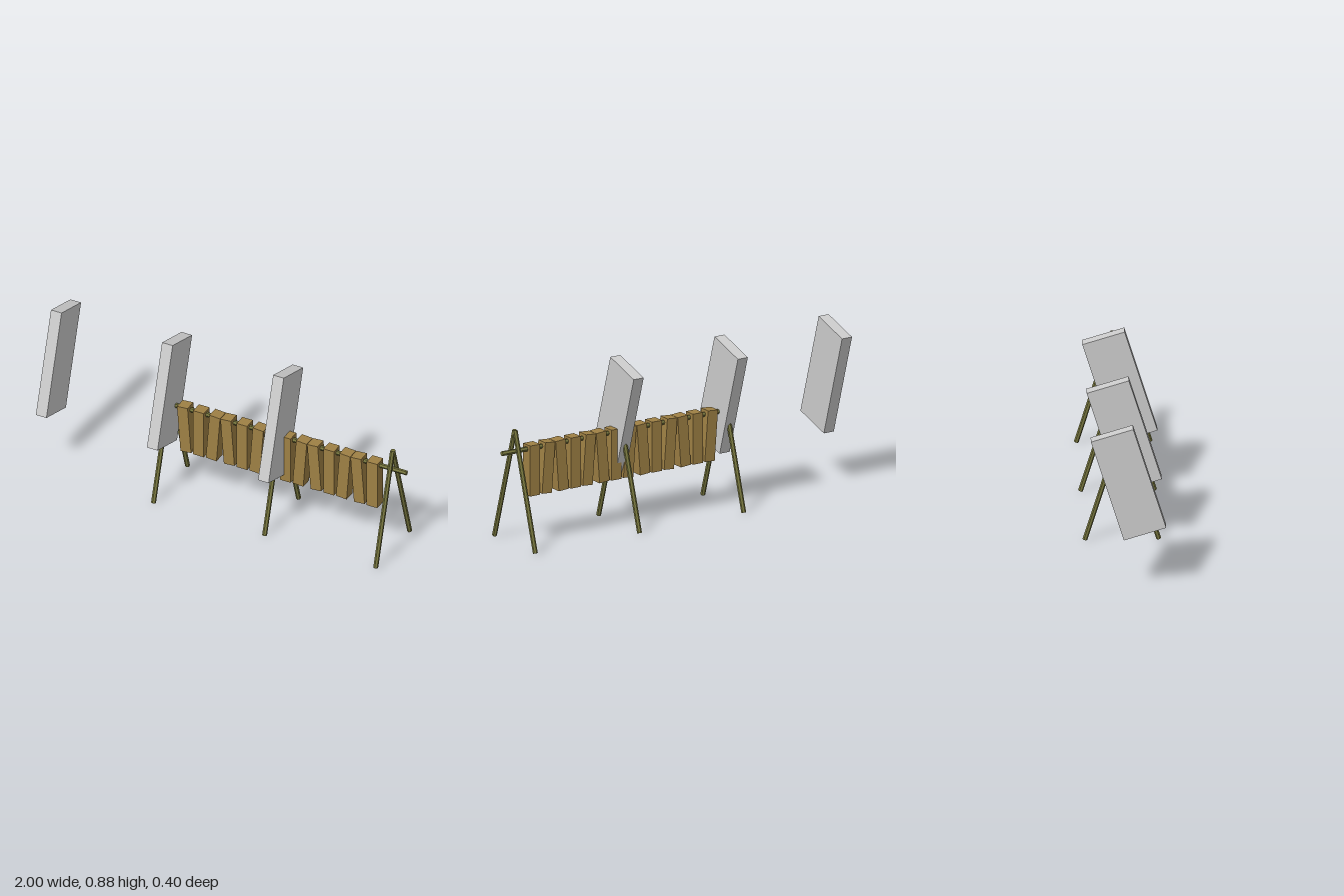
import * as THREE from 'three';

export function createModel() {
  const model = new THREE.Group();
  model.name = 'hangingPlankRack';

  const material = (name, color) => {
    const m = new THREE.MeshStandardMaterial({ color, flatShading: true });
    m.name = name;
    return m;
  };
  const olive = material('olivePole', 0x77763e);
  const wood = material('plankWood', 0x9e8044);
  const grey = material('slabGrey', 0xcccccc);

  const add = (name, geometry, mat, x, y, z) => {
    const mesh = new THREE.Mesh(geometry, mat);
    mesh.name = name;
    mesh.position.set(x, y, z);
    model.add(mesh);
    return mesh;
  };

  const lean = 0.298;
  const poleRadius = 0.0125;

  // A-frame legs: three pairs meeting at the top
  const legGeometry = new THREE.CylinderGeometry(poleRadius, poleRadius, 0.629, 6);
  for (const x of [-0.34, 0.29, 0.92]) {
    for (const side of [1, -1]) {
      const leg = add(side > 0 ? 'frontLeg' : 'backLeg', legGeometry, olive, x, 0.305, side * 0.094);
      leg.rotation.x = -side * lean;
    }
  }

  // Horizontal pole carrying the planks
  const poleGeometry = new THREE.CylinderGeometry(poleRadius, poleRadius, 1.42, 6);
  add('crossPole', poleGeometry, olive, 0.29, 0.495, 0).rotation.z = Math.PI / 2;

  // Row of planks, tilted left, straight and right in turn
  const plankGeometry = new THREE.BoxGeometry(0.06, 0.266, 0.064);
  for (let i = 0; i < 14; i++) {
    const plank = add('plank', plankGeometry, wood, -0.247 + i * 0.082, 0.385, 0);
    plank.rotation.z = [0.075, 0, -0.075][i % 3];
  }

  // Leaning grey slabs
  const slabGeometry = new THREE.BoxGeometry(0.06, 0.565, 0.223);
  for (const x of [-0.97, -0.34, 0.29]) {
    add('slab', slabGeometry, grey, x, 0.578, 0.011).rotation.x = -lean;
  }

  return model;
}
